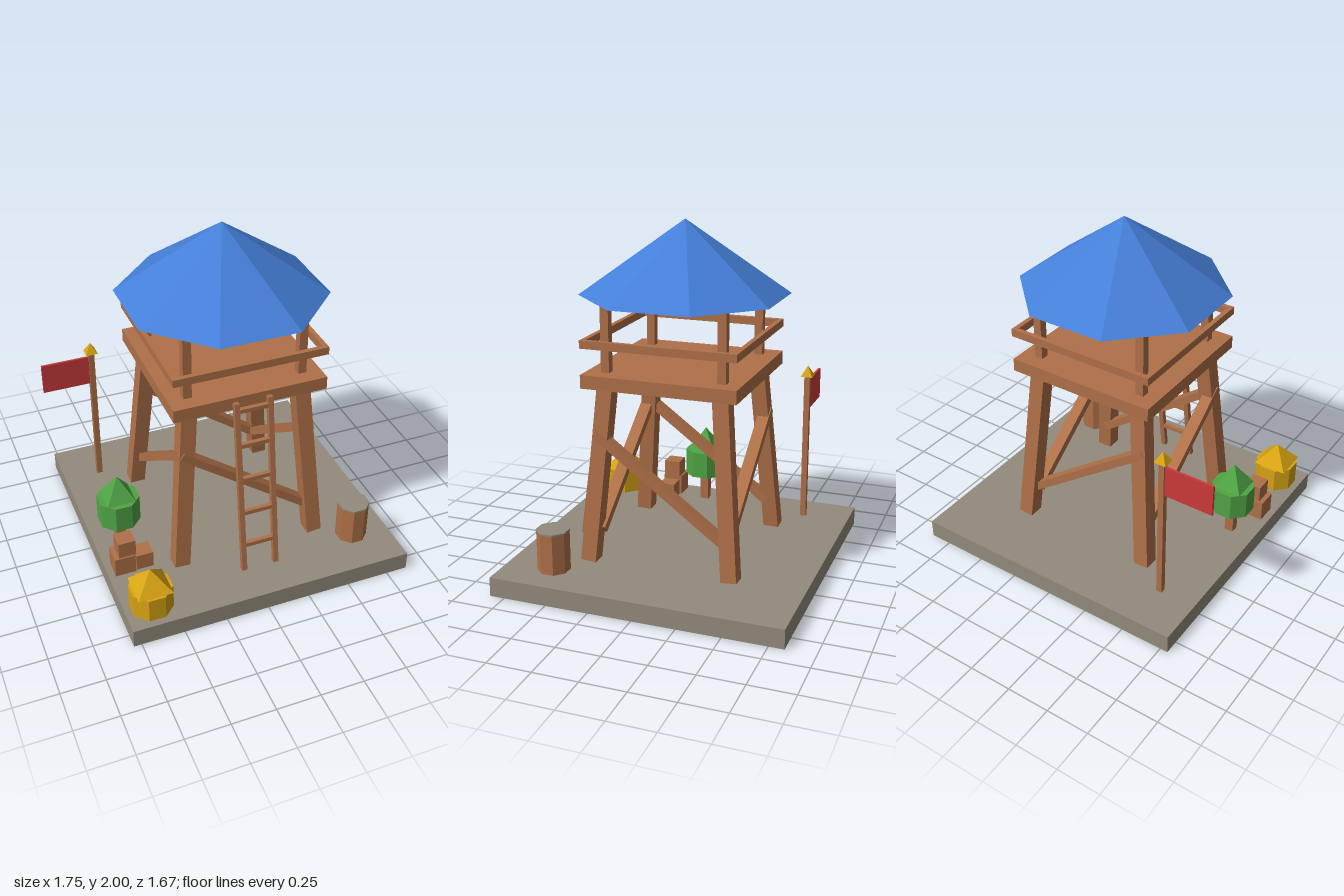
import * as THREE from 'three';

function flat(name, color) {
  const m = new THREE.MeshStandardMaterial({ color, flatShading: true });
  m.name = name;
  return m;
}

export function createModel() {
  const model = new THREE.Group();
  model.name = 'watchtower';

  const wood = flat('wood', 0xae7048);
  const stone = flat('stone', 0x938b7c);
  const blue = flat('roofBlue', 0x457fd8);
  const green = flat('leafGreen', 0x4fa444);
  const yellow = flat('yellow', 0xd8a414);
  const red = flat('flagRed', 0xcb393b);
  stone.side = THREE.DoubleSide;

  const add = (parent, name, geometry, material, x = 0, y = 0, z = 0) => {
    const mesh = new THREE.Mesh(geometry, material);
    mesh.name = name;
    mesh.position.set(x, y, z);
    parent.add(mesh);
    return mesh;
  };
  const box = (parent, name, mat, w, h, d, x, y, z) =>
    add(parent, name, new THREE.BoxGeometry(w, h, d), mat, x, y, z);

  // Beam between two points
  const beam = (parent, name, mat, a, b, w, d) => {
    const from = new THREE.Vector3(...a), to = new THREE.Vector3(...b);
    const dir = to.clone().sub(from);
    const mid = from.clone().add(to).multiplyScalar(0.5);
    const mesh = box(parent, name, mat, w, dir.length(), d, mid.x, mid.y, mid.z);
    mesh.quaternion.setFromUnitVectors(new THREE.Vector3(0, 1, 0), dir.normalize());
    return mesh;
  };

  // Prism or pyramid with flat sides on the axes; half is centre to flat side
  const prism = (parent, name, mat, sides, half, topHalf, y0, y1, x, z) => {
    const k = 1 / Math.cos(Math.PI / sides);
    const g = topHalf === 0
      ? new THREE.ConeGeometry(half * k, y1 - y0, sides)
      : new THREE.CylinderGeometry(topHalf * k, half * k, y1 - y0, sides);
    g.rotateY(Math.PI / sides);
    return add(parent, name, g, mat, x, (y0 + y1) / 2, z);
  };

  const group = (name, x = 0) => {
    const g = new THREE.Group();
    g.name = name;
    g.position.x = x;
    model.add(g);
    return g;
  };

  const CX = 0.04;      // tower axis
  const GROUND = 0.11;

  // Ground slab, open underneath
  const slab = new THREE.BoxGeometry(1.67, GROUND, 1.67);
  const index = Array.from(slab.index.array);
  index.splice(18, 6);
  slab.setIndex(index);
  slab.clearGroups();
  add(model, 'groundSlab', slab, stone, CX, GROUND / 2, 0);

  // Tower frame: legs, roof posts, braces
  const tower = group('tower', CX);
  for (const sx of [-1, 1]) {
    for (const sz of [-1, 1]) {
      beam(tower, 'leg', wood, [sx * 0.415, GROUND, sz * 0.415], [sx * 0.33, 1.13, sz * 0.33], 0.09, 0.09);
      box(tower, 'roofPost', wood, 0.048, 0.41, 0.048, sx * 0.333, 1.395, sz * 0.333);
    }
  }
  for (const s of [-1, 1]) {
    beam(tower, 'crossBrace', wood, [-0.385, 0.85, s * 0.37], [0.385, 0.285, s * 0.37], 0.046, 0.07);
    beam(tower, 'sideBrace', wood, [s * 0.37, 0.85, 0.385], [s * 0.37, 0.285, -0.385], 0.07, 0.046);
  }

  // Platform and railing
  box(tower, 'platform', wood, 0.886, 0.076, 0.886, 0, 1.157, 0);
  for (const s of [-1, 1]) {
    box(tower, 'railing', wood, 0.886, 0.045, 0.028, 0, 1.364, s * 0.429);
    box(tower, 'railing', wood, 0.028, 0.045, 0.83, s * 0.429, 1.364, 0);
  }

  // Roof
  prism(tower, 'roof', blue, 8, 0.545, 0, 1.586, 2, 0, 0);

  // Ladder leaning on the platform front
  const ladder = group('ladder', CX);
  const LOW = [0.11, 0.605], HIGH = [1.168, 0.457];
  for (const s of [-1, 1]) {
    beam(ladder, 'ladderRail', wood, [s * 0.097, ...LOW], [s * 0.097, ...HIGH], 0.03, 0.03);
  }
  for (let i = 0; i < 5; i++) {
    const y = 0.275 + i * 0.211;
    const t = (y - LOW[0]) / (HIGH[0] - LOW[0]);
    box(ladder, 'rung', wood, 0.18, 0.025, 0.025, 0, y, THREE.MathUtils.lerp(LOW[1], HIGH[1], t));
  }

  // Barrel
  const barrel = group('barrel');
  prism(barrel, 'barrelBody', wood, 8, 0.085, 0.085, GROUND, 0.34, 0.65, 0.553);
  prism(barrel, 'barrelLid', stone, 8, 0.087, 0.087, 0.34, 0.35, 0.65, 0.553);

  // Small hut
  const hut = group('hut');
  prism(hut, 'hutBody', yellow, 8, 0.115, 0.115, GROUND, 0.256, -0.64, 0.678);
  prism(hut, 'hutRoof', yellow, 4, 0.1, 0, 0.256, 0.374, -0.64, 0.678);

  // Tree
  const tree = group('tree');
  box(tree, 'trunk', wood, 0.052, 0.18, 0.052, -0.64, 0.2, 0.112);
  prism(tree, 'foliage', green, 8, 0.115, 0.115, 0.283, 0.445, -0.64, 0.112);
  prism(tree, 'treeTop', green, 4, 0.084, 0, 0.445, 0.585, -0.64, 0.112);

  // Crates
  const crates = group('crates');
  box(crates, 'largeCrate', wood, 0.12, 0.12, 0.12, -0.695, 0.17, 0.337);
  box(crates, 'smallCrate', wood, 0.1, 0.1, 0.1, -0.577, 0.16, 0.338);
  box(crates, 'topCrate', wood, 0.1, 0.1, 0.1, -0.678, 0.28, 0.338);

  // Flag
  const flag = group('flag');
  box(flag, 'flagPole', wood, 0.034, 0.9, 0.034, -0.572, 0.56, -0.557);
  prism(flag, 'finial', yellow, 4, 0.035, 0, 1.008, 1.072, -0.572, -0.557);
  box(flag, 'flagCloth', red, 0.291, 0.185, 0.014, -0.7295, 0.887, -0.557);

  return model;
}
